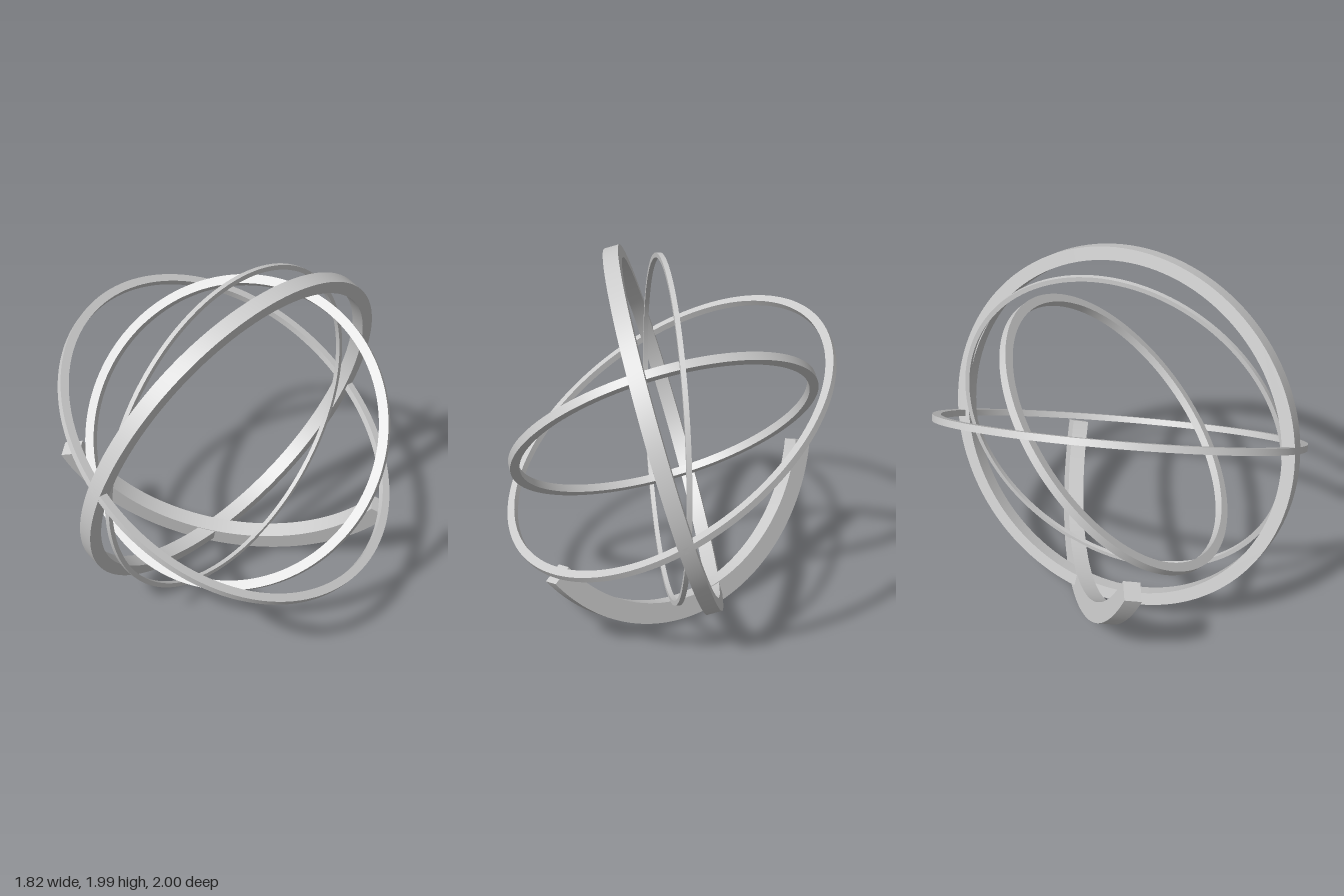
import * as THREE from 'three';
import { toCreasedNormals } from 'three/addons/utils/BufferGeometryUtils.js';

// Rectangular-section band in the XY plane, centred on z = 0.
// Without angles it is a closed ring; otherwise an arc with end caps.
function bandGeometry(outer, inner, width, start, end) {
  const shape = new THREE.Shape();
  if (start === undefined) {
    shape.absarc(0, 0, outer, 0, Math.PI * 2, false);
    const hole = new THREE.Path();
    hole.absarc(0, 0, inner, 0, Math.PI * 2, true);
    shape.holes.push(hole);
  } else {
    shape.absarc(0, 0, outer, start, end, false);
    shape.absarc(0, 0, inner, end, start, true);
  }
  const geo = new THREE.ExtrudeGeometry(shape, { depth: width, bevelEnabled: false, curveSegments: 64 });
  geo.translate(0, 0, -width / 2);
  return toCreasedNormals(geo, 0.6);
}

// Places a band so that its axis follows the normal and its local +x points to its lowest spot.
function makeBand(name, geometry, normal, centre) {
  const mesh = new THREE.Mesh(geometry, new THREE.MeshStandardMaterial({ color: 0xcccccc }));
  const n = new THREE.Vector3(...normal).normalize();
  const down = new THREE.Vector3(0, -1, 0).projectOnPlane(n).normalize();
  const side = new THREE.Vector3().crossVectors(n, down);
  mesh.quaternion.setFromRotationMatrix(new THREE.Matrix4().makeBasis(down, side, n));
  mesh.position.set(...centre);
  mesh.name = name;
  return mesh;
}

export function createModel() {
  const group = new THREE.Group();
  group.name = 'armillarySphere';
  const centre = [0.05, 1.015, 0];

  // Nested rings: name, outer radius, inner radius, width, axis
  const rings = [
    ['meridianRing', 1.0, 0.93, 0.08, [0.89, -0.27, 0.365]],
    ['thinRing', 0.93, 0.905, 0.025, [0.95, 0, 0.31]],
    ['tiltedRing', 1.0, 0.955, 0.035, [0.553, 0.833, 0.03]],
    ['innerRing', 0.845, 0.795, 0.045, [-0.04, 0.69, 0.72]],
  ];
  for (const [name, outer, inner, width, axis] of rings) {
    group.add(makeBand(name, bandGeometry(outer, inner, width), axis, centre));
  }

  // Open cradle arc underneath
  const rad = THREE.MathUtils.degToRad;
  const cradle = bandGeometry(1.02, 0.91, 0.09, rad(-72), rad(57));
  group.add(makeBand('cradleArc', cradle, [0.23, -0.25, 0.94], [0.05, 1.0, 0]));

  return group;
}
